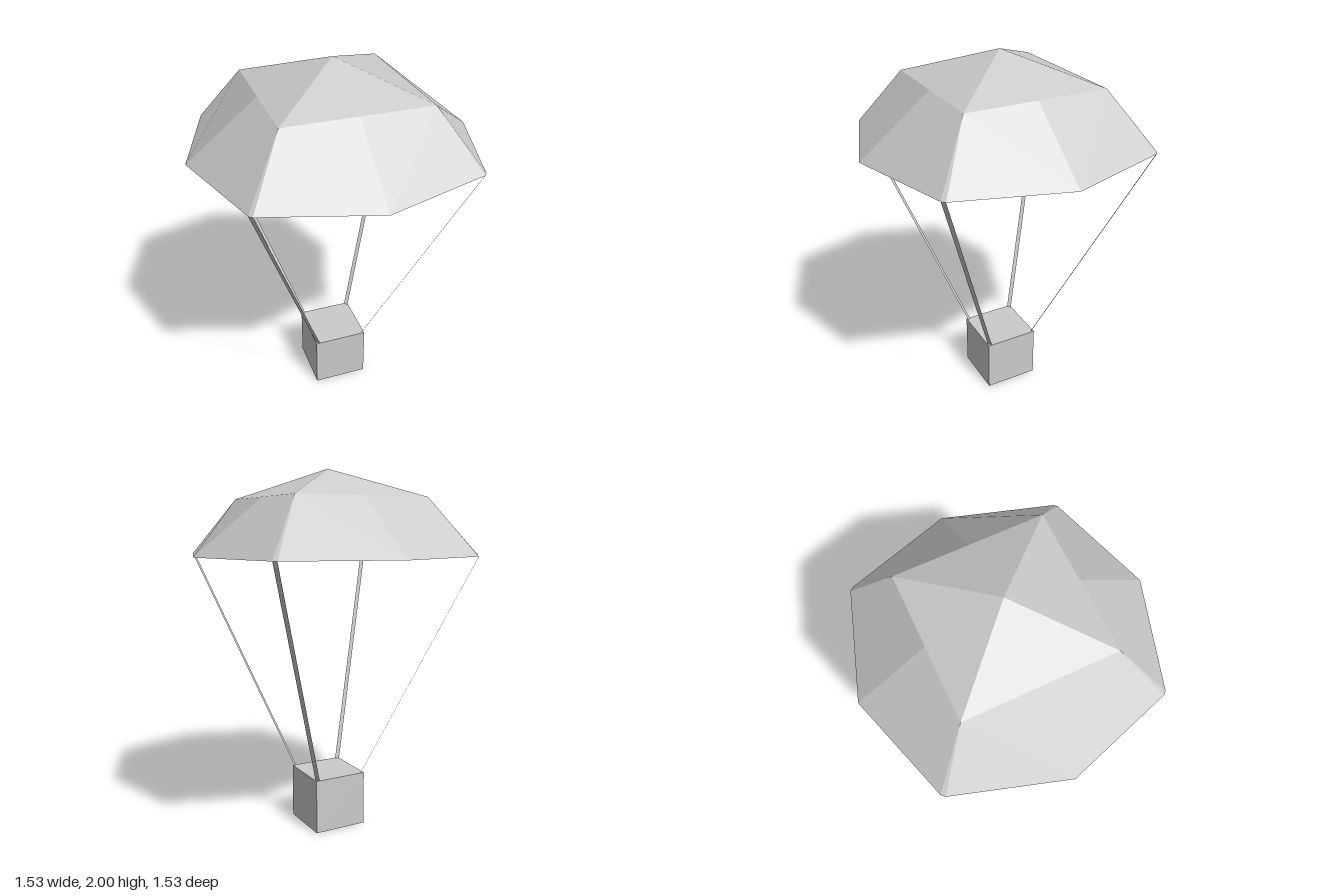
import * as THREE from 'three';

const V = (x, y, z) => new THREE.Vector3(x, y, z);

// Flat-shaded polygons: each face is a fan from its first corner and shares one normal
function facesGeometry(faces) {
  const pos = [], nor = [];
  for (const f of faces) {
    const n = V(0, 0, 0);
    for (let i = 0; i < f.length; i++) n.add(f[i].clone().cross(f[(i + 1) % f.length]));
    n.normalize();
    for (let i = 1; i < f.length - 1; i++) {
      for (const p of [f[0], f[i], f[i + 1]]) {
        pos.push(p.x, p.y, p.z);
        nor.push(n.x, n.y, n.z);
      }
    }
  }
  const g = new THREE.BufferGeometry();
  g.setAttribute('position', new THREE.Float32BufferAttribute(pos, 3));
  g.setAttribute('normal', new THREE.Float32BufferAttribute(nor, 3));
  return g;
}

export function createModel() {
  const group = new THREE.Group();
  const solid = new THREE.MeshStandardMaterial({ color: 0xcccccc, flatShading: true });
  const thin = new THREE.MeshStandardMaterial({ color: 0xcccccc, side: THREE.DoubleSide });

  const ringY = 1.845, rimY = 1.54, ring = 0.385, rim = 0.765;
  const near = 0.569, far = 0.586; // the two ends of each clipped rim corner
  const box = 0.305;

  // One quarter of the canopy, facing +x
  const apex = V(0, 2, 0);
  const ringMid = V(ring, ringY, 0), rimMid = V(rim, rimY, 0);
  const ringL = V(ring, ringY, ring), ringR = V(ring, ringY, -ring);
  const rimL = V(far, rimY, near), rimR = V(far, rimY, -near);
  const rimTurn = V(near, rimY, far);
  const quarter = [
    [apex, ringL, ringR],
    [ringL, rimL, rimMid, ringMid],
    [rimMid, rimR, ringR, ringMid],
    [ringL, rimTurn, rimL],
  ];
  // Flat cord strap from the rim corner down to the box corner
  const strap = [[rimL, rimTurn, V(0.132, box, 0.149), V(0.149, box, 0.132)]];

  const canopyGeo = facesGeometry(quarter);
  const strapGeo = facesGeometry(strap);
  const canopy = new THREE.Group();
  canopy.name = 'canopy';
  const cords = new THREE.Group();
  cords.name = 'cords';
  for (let i = 0; i < 4; i++) {
    const panel = new THREE.Mesh(canopyGeo, thin);
    panel.name = 'canopyPanel';
    panel.rotation.y = i * Math.PI / 2;
    canopy.add(panel);
    const cord = new THREE.Mesh(strapGeo, thin);
    cord.name = 'cord';
    cord.rotation.y = i * Math.PI / 2;
    cords.add(cord);
  }

  // Hanging cargo box
  const crate = new THREE.Mesh(new THREE.BoxGeometry(box, box, box), solid);
  crate.name = 'cargoBox';
  crate.position.y = box / 2;

  group.add(canopy, cords, crate);
  return group;
}
